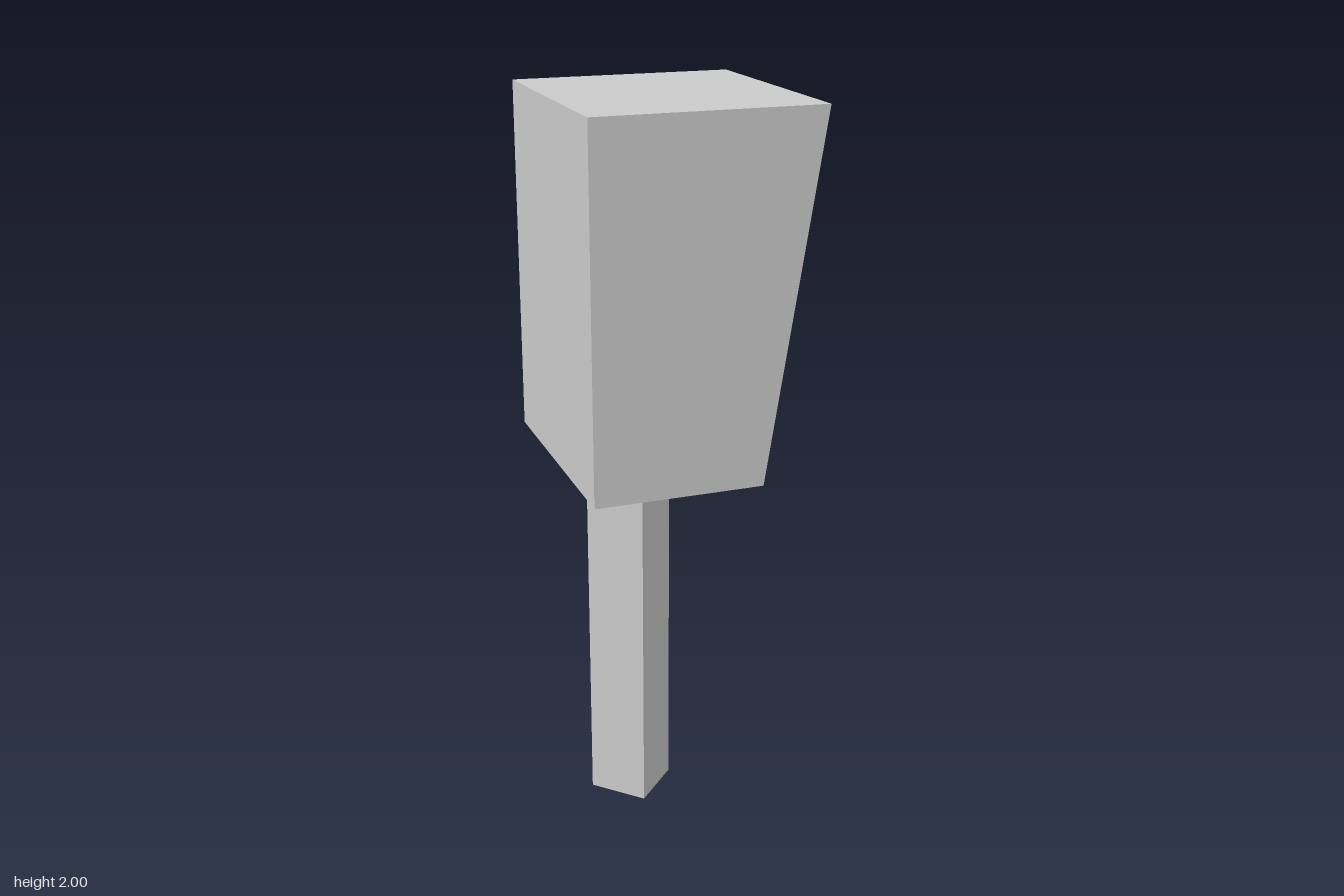
import * as THREE from 'three';

const grey = new THREE.MeshStandardMaterial({ color: 0xcccccc, flatShading: true });
const smooth = new THREE.MeshStandardMaterial({ color: 0xcccccc });

const BASE = 1.035, TOP = 2;   // housing height range
const RECESS = -0.05;          // x of the recess back wall
const PLUG_X = 0.015;          // x of the cable run

function add(parent, name, geometry, x = 0, y = 0, z = 0, material = grey) {
  const mesh = new THREE.Mesh(geometry, material);
  mesh.name = name;
  mesh.position.set(x, y, z);
  parent.add(mesh);
  return mesh;
}

// x of the slanted front at a given height
const slant = (y) => 0.153 + 0.151 * (y - BASE) / (TOP - BASE);

// Four corners, counter-clockwise seen from +x
function ring(y0, y1, z, xAt) {
  return [[y0, z], [y0, -z], [y1, -z], [y1, z]].map(([y, w]) => [xAt(y), y, w]);
}

// Open housing: lofted back wall > rim outside > rim inside > recess floor
function housingGeometry() {
  const rings = [
    ring(BASE, TOP, 0.337, () => -0.305),
    ring(BASE, TOP, 0.337, slant),
    ring(1.075, 1.96, 0.295, slant),
    ring(1.075, 1.96, 0.295, () => RECESS),
  ];
  const pos = [];
  const quad = (a, b, c, d) => pos.push(...a, ...b, ...c, ...a, ...c, ...d);
  for (let r = 0; r < 3; r++) {
    for (let i = 0; i < 4; i++) {
      const j = (i + 1) % 4;
      quad(rings[r][i], rings[r][j], rings[r + 1][j], rings[r + 1][i]);
    }
  }
  quad(...[...rings[0]].reverse());
  quad(...rings[3]);
  const geometry = new THREE.BufferGeometry();
  geometry.setAttribute('position', new THREE.Float32BufferAttribute(pos, 3));
  geometry.computeVertexNormals();
  return geometry;
}

// Cable with a plug and socket at each end
function createCable(y) {
  const group = new THREE.Group();
  group.name = 'cable';
  const path = [[0.19, 0], [0.127, 0], [0.02, 0.03], [-0.035, 0.085], [-0.1, 0.115], [-0.2, 0.115]];
  const curve = new THREE.CatmullRomCurve3(
    path.map(([z, dy]) => new THREE.Vector3(PLUG_X, y + dy, z)));
  curve.getUtoTmapping = (u) => u; // one straight segment per path point
  add(group, 'wire', new THREE.TubeGeometry(curve, path.length - 1, 0.015, 8), 0, 0, 0, smooth);
  for (const [side, py] of [[1, y + 0.002], [-1, y + 0.112]]) {
    add(group, 'socket', new THREE.BoxGeometry(0.07, 0.07, 0.045), PLUG_X, py, side * 0.2725);
    add(group, 'plug', new THREE.BoxGeometry(0.045, 0.045, 0.07), PLUG_X, py, side * 0.217);
  }
  return group;
}

export function createModel() {
  const model = new THREE.Group();
  model.name = 'controlBox';

  // Square post turned corner-on
  add(model, 'post', new THREE.CylinderGeometry(0.119, 0.119, BASE, 4), -0.104, BASE / 2, 0);

  add(model, 'housing', housingGeometry());

  // Octagonal button on its square plate
  add(model, 'buttonPlate', new THREE.BoxGeometry(0.065, 0.235, 0.23), RECESS + 0.0325, 1.78, 0);
  const button = add(model, 'button', new THREE.CylinderGeometry(0.095, 0.095, 0.08, 8), 0.045, 1.78, 0);
  button.rotation.z = -Math.PI / 2;

  for (let i = 0; i < 3; i++) model.add(createCable(1.468 - i * 0.155));

  return model;
}
